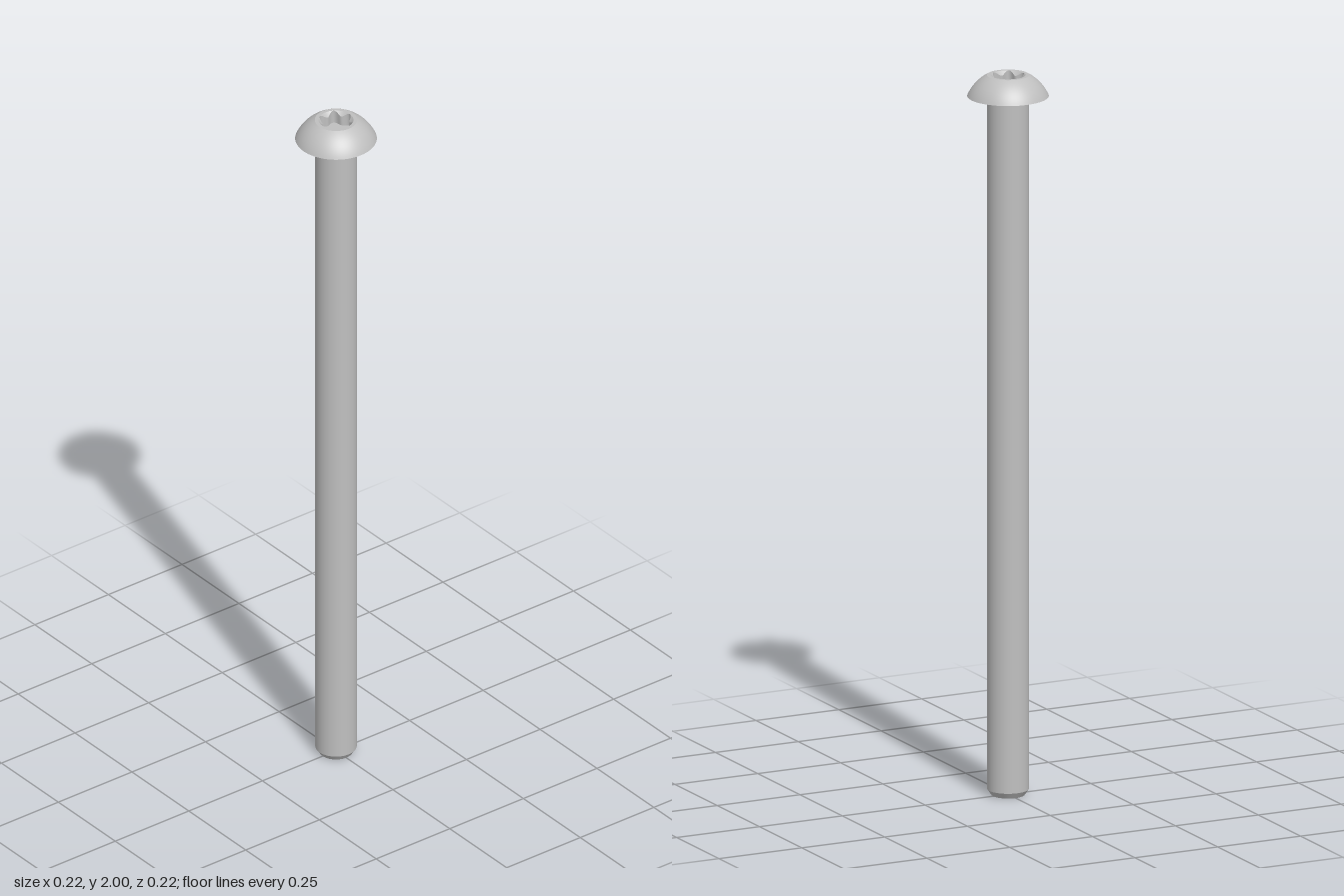
import * as THREE from 'three';

const SEG = 72;
const HEAD_R = 0.11, SHANK_R = 0.056, HEAD_Y = 1.942, TOP_R = 0.057;
const SOCKET_R = 0.047, FLOOR_Y = 1.962;

// Lathe one smooth band, so edges between bands stay sharp
function band(points, material, name) {
  const geo = new THREE.LatheGeometry(points.map(([r, y]) => new THREE.Vector2(r, y)), SEG);
  const mesh = new THREE.Mesh(geo, material);
  mesh.name = name;
  return mesh;
}

// Surface between two closed rings, upper ring first, facing the axis
function ringWall(upper, lower, material, name) {
  const pos = [], idx = [];
  for (let i = 0; i <= SEG; i++) {
    const a = (i / SEG) * Math.PI * 2;
    pos.push(...upper(a), ...lower(a));
    if (i < SEG) {
      const k = i * 2;
      idx.push(k, k + 2, k + 1, k + 1, k + 2, k + 3);
    }
  }
  const geo = new THREE.BufferGeometry();
  geo.setAttribute('position', new THREE.Float32BufferAttribute(pos, 3));
  geo.setIndex(idx);
  geo.computeVertexNormals();
  const mesh = new THREE.Mesh(geo, material);
  mesh.name = name;
  return mesh;
}

export function createModel() {
  const steel = new THREE.MeshStandardMaterial({ color: 0xbfbfbf, side: THREE.DoubleSide });
  steel.name = 'steel grey';
  const model = new THREE.Group();
  model.name = 'buttonHeadScrew';

  // Shank with chamfered tip
  model.add(
    band([[0, 0], [0.045, 0]], steel, 'tipFace'),
    band([[0.045, 0], [SHANK_R, 0.016]], steel, 'tipChamfer'),
    band([[SHANK_R, 0.016], [SHANK_R, HEAD_Y]], steel, 'shank'),
  );

  // Domed head: spherical zone between the underside and the flat top
  const drop = 0.0473, R = Math.hypot(HEAD_R, drop);
  const a0 = Math.asin(drop / R), a1 = Math.acos(TOP_R / R);
  const dome = [];
  for (let i = 0; i <= 12; i++) {
    const a = a0 + (a1 - a0) * i / 12;
    dome.push([R * Math.cos(a), HEAD_Y - drop + R * Math.sin(a)]);
  }
  dome[12][1] = 2;
  model.add(
    band([[SHANK_R, HEAD_Y], [HEAD_R, HEAD_Y]], steel, 'headUnderside'),
    band(dome, steel, 'headDome'),
    band([[TOP_R, 2], [SOCKET_R, 2]], steel, 'headTopRing'),
  );

  // Six-lobed socket, lobes pointing along z, with a conical lead-in
  const starR = a => 0.0415 + 0.0055 * Math.cos(6 * a);
  const at = (r, y, a) => [r * Math.sin(a), y, r * Math.cos(a)];
  const rim = a => at(SOCKET_R, 2, a);
  const lip = a => at(starR(a), 2 - (SOCKET_R - starR(a)), a);
  const foot = a => at(starR(a), FLOOR_Y, a);
  const centre = () => [0, FLOOR_Y, 0];
  model.add(
    ringWall(rim, lip, steel, 'socketLeadIn'),
    ringWall(lip, foot, steel, 'socketWall'),
    ringWall(foot, centre, steel, 'socketFloor'),
  );
  return model;
}
